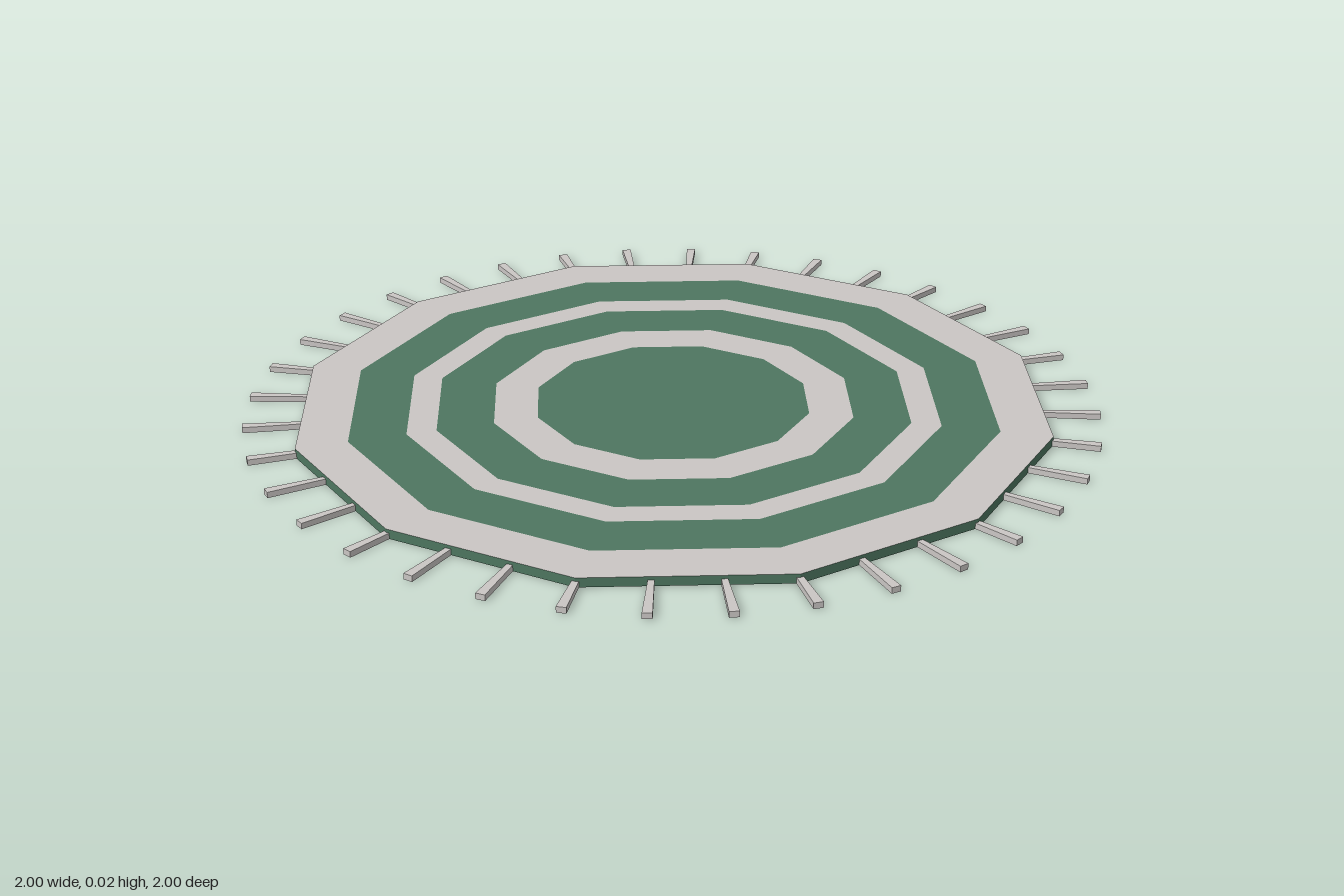
import * as THREE from 'three';

export function createModel() {
  const rug = new THREE.Group();
  rug.name = 'roundRug';

  const mat = (name, color) => {
    const m = new THREE.MeshStandardMaterial({ color, flatShading: true, side: THREE.DoubleSide });
    m.name = name;
    return m;
  };
  const green = mat('green', 0x4e7660);
  const cream = mat('paleGrey', 0xcac6c4);

  const add = (name, geometry, material, parent = rug) => {
    const mesh = new THREE.Mesh(geometry, material);
    mesh.name = name;
    parent.add(mesh);
    return mesh;
  };

  const SIDES = 12;
  const HEIGHT = 0.022;
  const RADIUS = 0.891;
  const TURN = THREE.MathUtils.degToRad(11.3); // twist of the twelve corners

  // Woven face: centre disc and concentric twelve-sided bands
  const radii = [0.326, 0.43, 0.565, 0.635, 0.77, RADIUS];
  radii.forEach((outer, i) => {
    const start = Math.PI / 2 - TURN;
    const g = i === 0
      ? new THREE.CircleGeometry(outer, SIDES, start)
      : new THREE.RingGeometry(radii[i - 1], outer, SIDES, 1, start);
    g.rotateX(-Math.PI / 2).translate(0, HEIGHT, 0);
    add(i === 0 ? 'centreDisc' : 'band' + i, g, i % 2 ? cream : green);
  });

  // Edge binding around the rug
  const rim = new THREE.CylinderGeometry(RADIUS, RADIUS, HEIGHT, SIDES, 1, true, Math.PI - TURN);
  rim.translate(0, HEIGHT / 2, 0);
  add('edgeBinding', rim, green);

  // Fringe: tassels widening slightly towards the tip
  const tassel = new THREE.BoxGeometry(0.022, 0.014, 0.15);
  const p = tassel.attributes.position;
  for (let i = 0; i < p.count; i++) if (p.getZ(i) < 0) p.setX(i, p.getX(i) * 0.6);
  tassel.translate(0, 0.007, 0.925);

  const fringe = new THREE.Group();
  fringe.name = 'fringe';
  rug.add(fringe);
  for (let i = 0; i < 36; i++) {
    add('tassel', tassel, cream, fringe).rotation.y = Math.PI - THREE.MathUtils.degToRad(1.3 + i * 10);
  }
  return rug;
}
